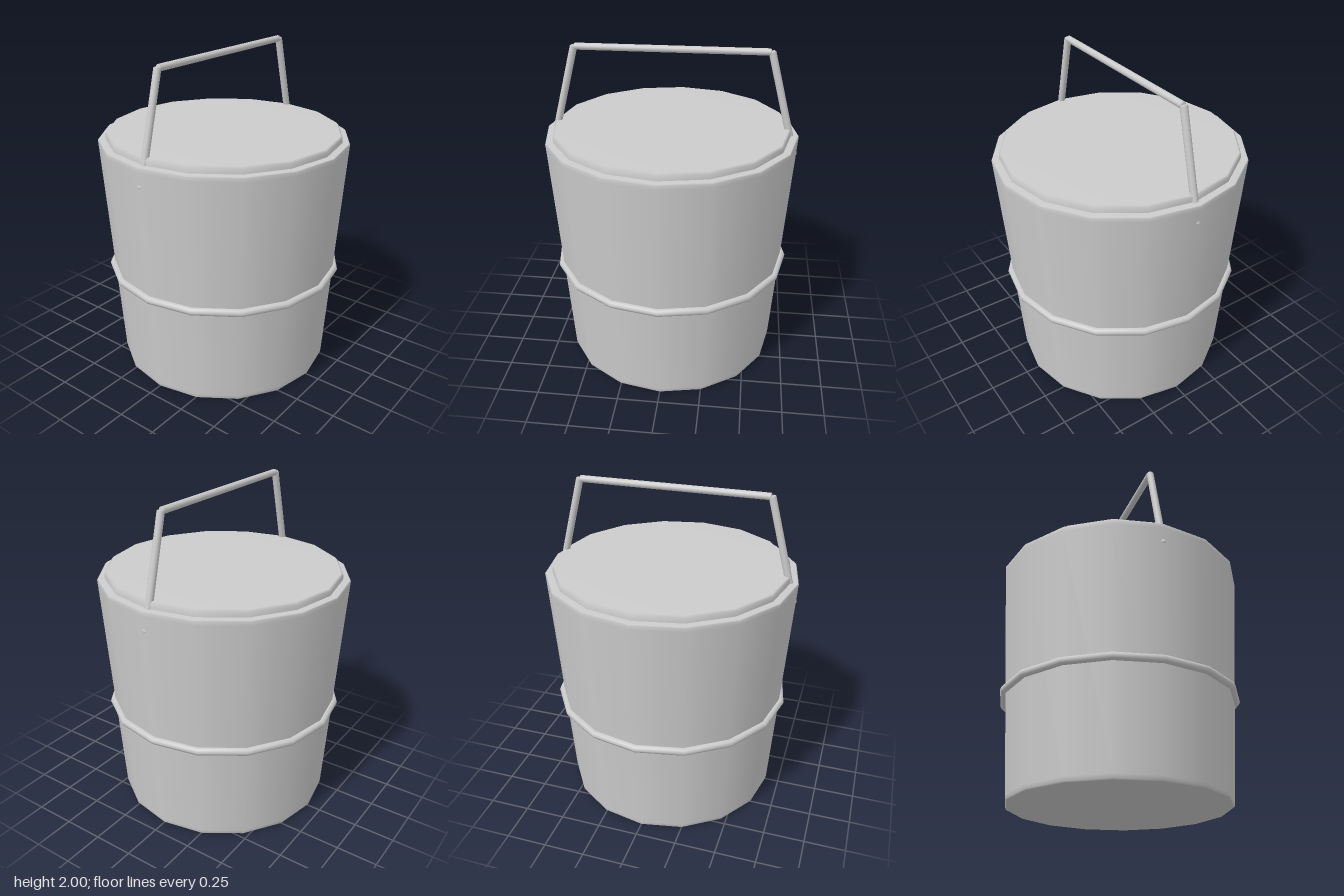
import * as THREE from 'three';

export function createModel() {
  const group = new THREE.Group();
  const material = new THREE.MeshStandardMaterial({ color: 0xcccccc });
  const SIDES = 16;

  const add = (name, geometry, parent = group) => {
    const mesh = new THREE.Mesh(geometry, material);
    mesh.name = name;
    parent.add(mesh);
    return mesh;
  };
  const lathe = (points) =>
    new THREE.LatheGeometry(points.map(([r, y]) => new THREE.Vector2(r, y)), SIDES);

  // Tapered bucket with softly bevelled base and rim
  add('bucketBody', lathe([
    [0, 0], [0.658, 0], [0.665, 0.008], [0.668, 0.03],
    [0.762, 1.45], [0.764, 1.474], [0.758, 1.48], [0.7, 1.48],
  ]));

  // Flat lid set just inside the rim
  add('lid', lathe([[0.718, 1.47], [0.718, 1.508], [0.706, 1.522], [0, 1.522]]));

  // Hoop around the body
  const hoop = add('hoop', new THREE.TorusGeometry(0.716, 0.024, 8, SIDES));
  hoop.rotation.x = Math.PI / 2;
  hoop.position.y = 0.645;

  // Handle made of three straight rods with bevelled ends
  const handle = new THREE.Group();
  handle.name = 'handle';
  group.add(handle);

  const rod = (name, from, to, radius) => {
    const a = new THREE.Vector3(...from), b = new THREE.Vector3(...to);
    const length = a.distanceTo(b), h = length / 2, bevel = 0.006;
    const profile = [
      [0, -h], [radius - bevel, -h], [radius, -h + bevel],
      [radius, h - bevel], [radius - bevel, h], [0, h],
    ].map(([r, y]) => new THREE.Vector2(r, y));
    const mesh = add(name, new THREE.LatheGeometry(profile, 12), handle);
    mesh.position.copy(a).add(b).multiplyScalar(0.5);
    mesh.quaternion.setFromUnitVectors(
      new THREE.Vector3(0, 1, 0), b.clone().sub(a).normalize());
  };

  rod('handleGrip', [-0.572, 1.979, 0], [0.572, 1.979, 0], 0.021);
  for (const [name, s] of [['leftHandleArm', 1], ['rightHandleArm', -1]]) {
    // The lower end runs through the wall and its tip shows outside
    rod(name, [s * 0.741, 1.352, 0], [s * 0.574, 1.984, 0], 0.022);
  }

  return group;
}
